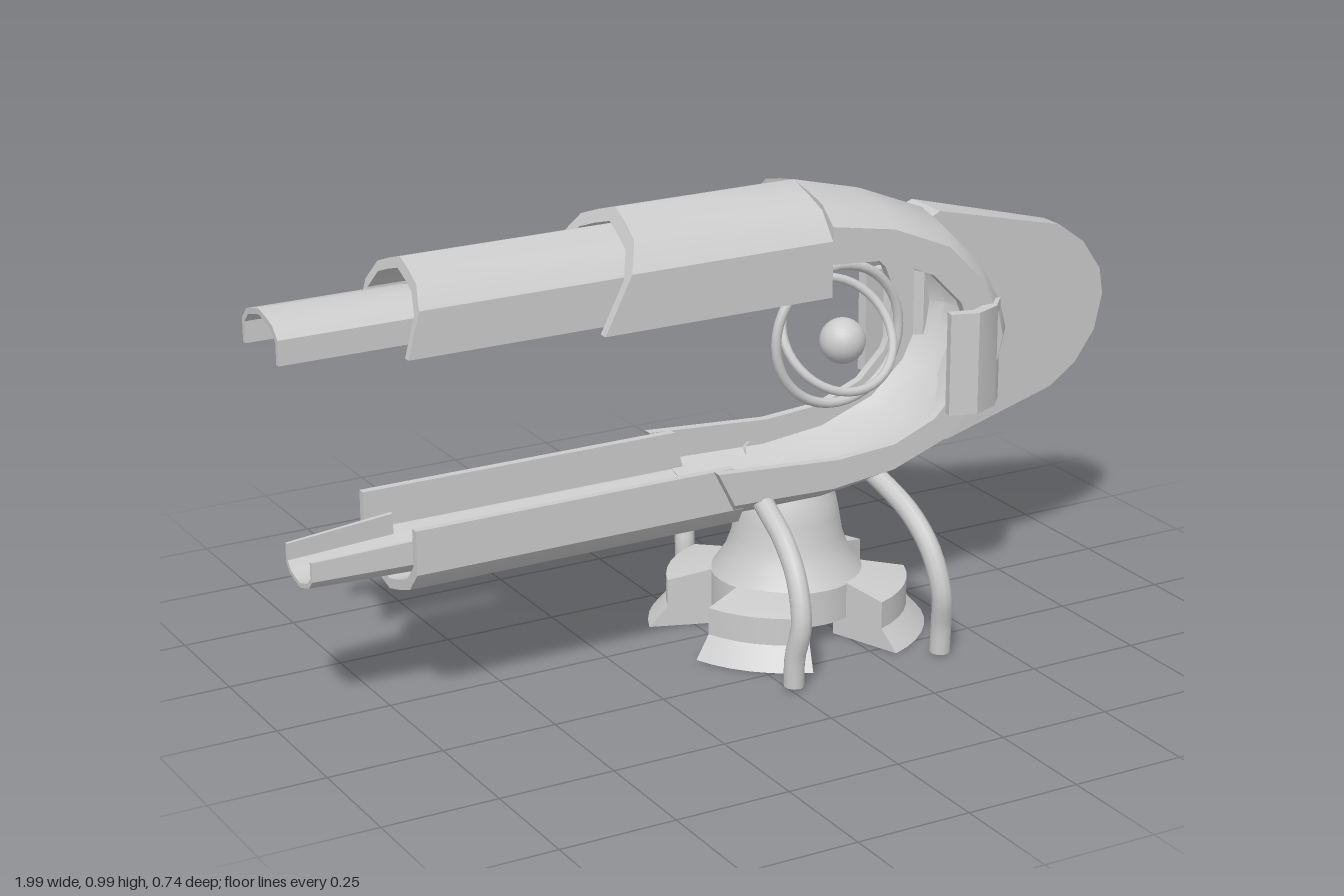
import * as THREE from 'three';
import { toCreasedNormals } from 'three/addons/utils/BufferGeometryUtils.js';

const material = new THREE.MeshStandardMaterial({ color: 0xcccccc });

function add(parent, name, geometry) {
  const mesh = new THREE.Mesh(geometry, material);
  mesh.name = name;
  parent.add(mesh);
  return mesh;
}

// Half section of a shell: [t from rim to spine, share of the half width]
const HALF = [[0, 1], [0.56, 1], [0.82, 0.72], [0.92, 0.36], [1, 0]];
const OUTER = [...HALF, ...HALF.slice(0, -1).reverse().map(([t, z]) => [t, -z])];
const LOOP = [...OUTER, ...OUTER.slice().reverse().map(([t, z]) => [t * 0.87, z * 0.87])];

// Hollow trough lofted through stations [spineX, spineY, rimX, rimY, halfWidth]
function trough(stations) {
  const n = LOOP.length, position = [], index = [];
  for (const [ox, oy, ex, ey, w] of stations)
    for (const [t, z] of LOOP) position.push(ex + (ox - ex) * t, ey + (oy - ey) * t, z * w);
  for (let i = 0; i < stations.length - 1; i++)
    for (let j = 0; j < n; j++) {
      const a = i * n + j, b = i * n + (j + 1) % n;
      index.push(a, a + n, b, b, a + n, b + n);
    }
  const last = (stations.length - 1) * n;
  for (let j = 0; j < OUTER.length - 1; j++) {
    const a = j, b = j + 1, c = n - 1 - j, d = n - 2 - j;
    index.push(a, b, c, b, d, c);
    index.push(last + a, last + c, last + b, last + b, last + c, last + d);
  }
  const g = new THREE.BufferGeometry();
  g.setAttribute('position', new THREE.Float32BufferAttribute(position, 3));
  g.setIndex(index);
  return toCreasedNormals(g, 0.55);
}

function shapeOf(points) {
  return new THREE.Shape(points.map(([x, y]) => new THREE.Vector2(x, y)));
}

// Wedge of a ring: closed profile [radius, y] swept between two angles, with end caps
function ringWedge(profile, start, sweep, steps = 6) {
  const n = profile.length, position = [], index = [];
  for (let i = 0; i <= steps; i++) {
    const a = start + sweep * i / steps;
    for (const [r, y] of profile) position.push(r * Math.sin(a), y, r * Math.cos(a));
  }
  for (let i = 0; i < steps; i++)
    for (let j = 0; j < n; j++) {
      const a = i * n + j, b = i * n + (j + 1) % n;
      index.push(a, a + n, b, b, a + n, b + n);
    }
  const faces = THREE.ShapeUtils.triangulateShape(profile.map(p => new THREE.Vector2(...p)), []);
  for (const [a, b, c] of faces) {
    index.push(a, b, c);
    index.push(steps * n + a, steps * n + c, steps * n + b);
  }
  const g = new THREE.BufferGeometry();
  g.setAttribute('position', new THREE.Float32BufferAttribute(position, 3));
  g.setIndex(index);
  return toCreasedNormals(g, 0.5);
}

export function createModel() {
  const model = new THREE.Group();
  model.name = 'turret';

  const body = new THREE.Group();
  body.name = 'body';
  body.position.z = 0.006;
  model.add(body);

  // C-shaped housing: upper arm, round back, lower jaw
  const w = 0.158;
  add(body, 'housing', trough([
    [-0.22, 0.985, -0.33, 0.77, w],
    [0.2, 0.985, 0.2, 0.77, w],
    [0.2, 0.985, 0.2, 0.84, w],
    [0.36, 0.945, 0.34, 0.83, w],
    [0.52, 0.88, 0.45, 0.78, w],
    [0.62, 0.78, 0.52, 0.71, w],
    [0.675, 0.68, 0.545, 0.65, w],
    [0.692, 0.62, 0.55, 0.62, w],
    [0.675, 0.56, 0.545, 0.58, w],
    [0.62, 0.46, 0.52, 0.52, w],
    [0.52, 0.375, 0.46, 0.46, w],
    [0.36, 0.32, 0.36, 0.42, w],
    [0.2, 0.298, 0.22, 0.41, w],
    [0.0, 0.295, -0.07, 0.43, w],
  ]));

  // Stepped barrels of the upper and lower arms
  add(body, 'upperBarrel', trough([
    [-0.7, 0.952, -0.745, 0.78, 0.125], [-0.15, 0.952, -0.2, 0.78, 0.125]]));
  add(body, 'upperBarrelTip', trough([
    [-1, 0.892, -1, 0.8, 0.088], [-0.68, 0.892, -0.68, 0.8, 0.088]]));
  add(body, 'lowerBarrel', trough([
    [0.02, 0.262, -0.02, 0.428, 0.135], [-0.745, 0.26, -0.745, 0.428, 0.135]]));
  add(body, 'lowerBarrelTip', trough([
    [-0.7, 0.297, -0.7, 0.388, 0.085], [-0.94, 0.302, -0.94, 0.375, 0.065]]));

  // Rear fin, thinning toward its edge
  const fin = new THREE.ExtrudeGeometry(shapeOf([
    [0.5, 0.36], [0.57, 0.364], [0.85, 0.43], [0.92, 0.475], [0.97, 0.54], [0.99, 0.62],
    [0.98, 0.68], [0.93, 0.75], [0.86, 0.8], [0.53, 0.883], [0.5, 0.87],
    [0.6, 0.77], [0.655, 0.62], [0.6, 0.47],
  ]), { depth: 2, bevelEnabled: false });
  const p = fin.attributes.position;
  for (let i = 0; i < p.count; i++) {
    const half = THREE.MathUtils.mapLinear(p.getX(i), 0.53, 0.99, 0.055, 0.02);
    p.setZ(i, (p.getZ(i) - 1) * half);
  }
  add(body, 'fin', toCreasedNormals(fin, 0.5));

  // Curved plates on both cheeks, extruded upward
  for (const side of [1, -1]) {
    const plate = new THREE.ExtrudeGeometry(shapeOf([
      [0.48, 0.182], [0.54, 0.2], [0.6, 0.175], [0.64, 0.13],
      [0.61, 0.12], [0.58, 0.155], [0.54, 0.175], [0.485, 0.16],
    ].map(([x, z]) => [x, -z * side])), { depth: 0.225, bevelEnabled: false });
    plate.rotateX(-Math.PI / 2).translate(0, 0.47, 0);
    add(body, 'cheekPlate', toCreasedNormals(plate, 0.6));
  }

  // Gyro rings around the core
  const gyro = new THREE.Group();
  gyro.name = 'gyro';
  gyro.position.set(0.313, 0.628, 0.006);
  model.add(gyro);
  add(gyro, 'outerRing', new THREE.TorusGeometry(0.153, 0.011, 8, 40));
  add(gyro, 'innerRing', new THREE.TorusGeometry(0.131, 0.01, 8, 40)).rotation.x = -0.64;
  add(gyro, 'core', new THREE.SphereGeometry(0.05, 24, 16)).position.set(0.012, -0.016, 0);

  // Pedestal with four spread feet
  const base = new THREE.Group();
  base.name = 'pedestal';
  base.position.set(0.19, 0, 0.006);
  model.add(base);
  const neck = [[0, 0.045], [0.165, 0.045], [0.165, 0.122], [0.135, 0.165], [0.12, 0.205],
    [0.113, 0.25], [0.106, 0.285], [0.095, 0.31], [0, 0.31]].map(q => new THREE.Vector2(...q));
  add(base, 'neck', toCreasedNormals(new THREE.LatheGeometry(neck, 32), 0.6));
  const foot = ringWedge([[0.13, 0], [0.3, 0], [0.26, 0.046], [0.26, 0.106], [0.16, 0.126], [0.13, 0.126]],
    THREE.MathUtils.degToRad(20), THREE.MathUtils.degToRad(50));
  for (let i = 0; i < 4; i++) add(base, 'foot', foot).rotation.y = i * Math.PI / 2;

  // Bent support legs: [side, x at body, x at ground]
  for (const [side, x0, x1] of [[1, 0.05, 0.01], [1, 0.33, 0.37], [-1, 0.18, 0.13], [-1, 0.44, 0.485]]) {
    const path = [[0.12, 0.35], [0.18, 0.328], [0.25, 0.295], [0.315, 0.235], [0.35, 0.145],
      [0.338, 0.07], [0.335, 0.008]].map(([z, y], i) =>
      new THREE.Vector3(x0 + (x1 - x0) * Math.min(1, i / 5), y, side * z + 0.002));
    const curve = new THREE.CatmullRomCurve3(path);
    add(model, 'supportLeg', new THREE.TubeGeometry(curve, 18, 0.022, 10));
    const cap = add(model, 'legEnd', new THREE.CircleGeometry(0.022, 10));
    cap.rotation.x = Math.PI / 2;
    cap.position.copy(path[6]);
  }
  return model;
}
